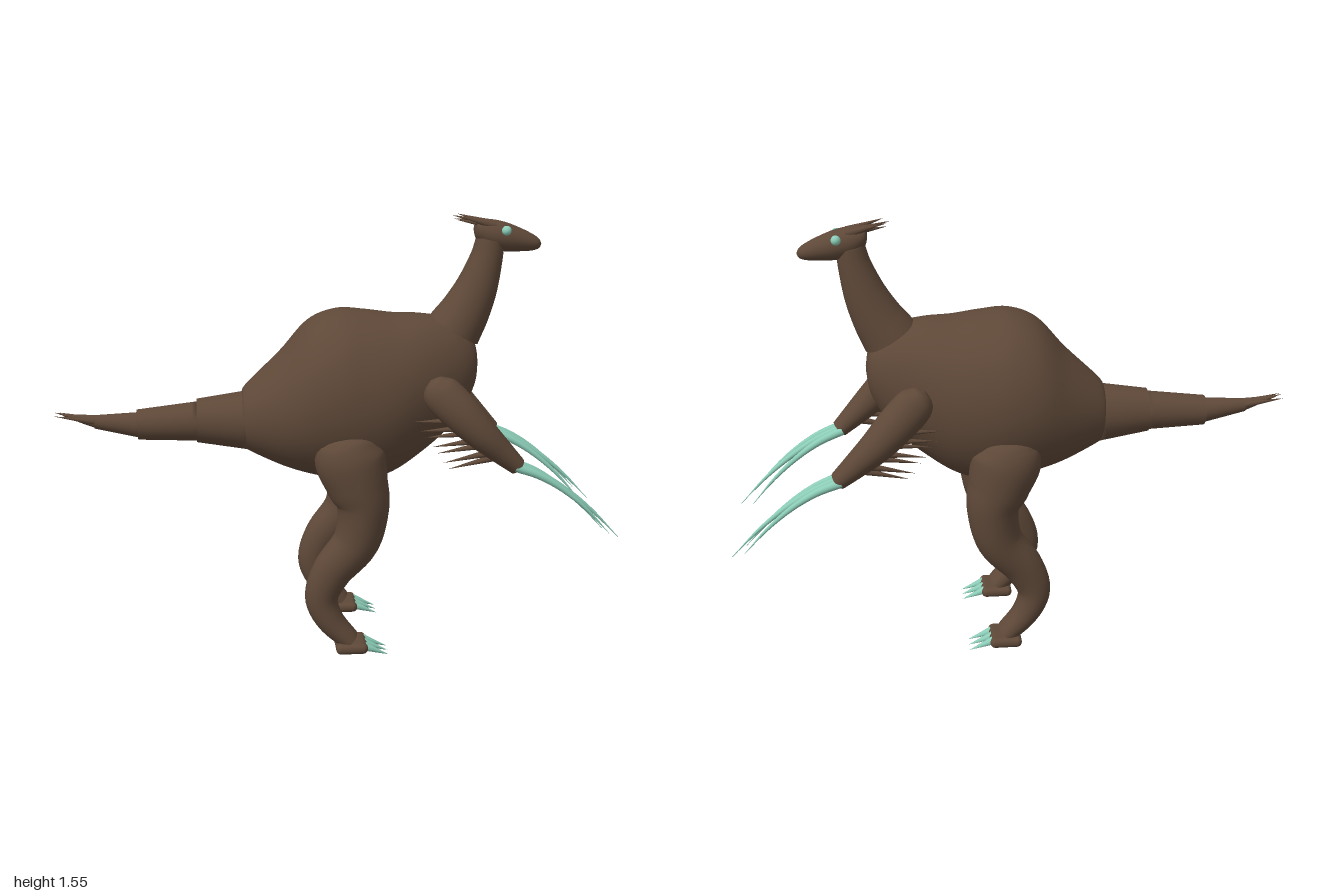
import * as THREE from 'three';
import { RoundedBoxGeometry } from 'three/addons/geometries/RoundedBoxGeometry.js';

const hide = new THREE.MeshStandardMaterial({ color: 0x5e4838 });
hide.name = 'brown hide';
const horn = new THREE.MeshStandardMaterial({ color: 0x8ccdb8 });
horn.name = 'pale teal horn';

const V = (x, y, z) => new THREE.Vector3(x, y, z);

function add(parent, name, geometry, material) {
  const mesh = new THREE.Mesh(geometry, material);
  mesh.name = name;
  parent.add(mesh);
  return mesh;
}

// Smooth skin over elliptical sections [x, y, z, radius in the xy plane, radius across].
// Upright sections all face +x; otherwise they follow the path.
function loft(sections, { upright = false, steps = 40, sides = 32 } = {}) {
  const path = new THREE.CatmullRomCurve3(sections.map(s => V(s[0], s[1], s[2])));
  const radii = new THREE.CatmullRomCurve3(sections.map(s => V(s[3], s[4], 0)), false, 'catmullrom');
  path.curveType = 'catmullrom';
  const pos = [], index = [];
  const put = p => pos.push(p.x, p.y, p.z);
  const ring = t => {
    const c = path.getPoint(t), r = radii.getPoint(t);
    const T = upright ? V(1, 0, 0) : path.getTangent(t);
    const N = V(-T.y, T.x, 0).normalize(), B = T.clone().cross(N);
    for (let j = 0; j < sides; j++) {
      const a = j / sides * Math.PI * 2;
      put(c.clone().addScaledVector(N, Math.max(r.x, 0.001) * Math.cos(a))
        .addScaledVector(B, Math.max(r.y, 0.001) * Math.sin(a)));
    }
    return c;
  };
  for (let i = 0; i <= steps; i++) ring(i / steps);
  for (let i = 0; i < steps; i++) for (let j = 0; j < sides; j++) {
    const k = (j + 1) % sides, a = i * sides, b = a + sides;
    index.push(a + j, a + k, b + k, a + j, b + k, b + j);
  }
  // Flat end caps with their own vertices
  for (const t of [0, 1]) {
    const start = pos.length / 3;
    put(ring(t));
    for (let j = 0; j < sides; j++) {
      const a = start + j, b = start + (j + 1) % sides, mid = start + sides;
      if (t) index.push(mid, a, b); else index.push(mid, b, a);
    }
  }
  const g = new THREE.BufferGeometry();
  g.setAttribute('position', new THREE.Float32BufferAttribute(pos, 3));
  g.setIndex(index);
  g.computeVertexNormals();
  return g;
}

// Cone from a base point to a tip
function spike(parent, name, from, to, radius, material) {
  const d = to.clone().sub(from);
  const mesh = add(parent, name, new THREE.ConeGeometry(radius, d.length(), 10), material);
  mesh.position.copy(from).addScaledVector(d, 0.5);
  mesh.quaternion.setFromUnitVectors(V(0, 1, 0), d.normalize());
}

function makeLeg(s) {
  const leg = new THREE.Group();
  const z = 0.19 * s;
  add(leg, 'legSkin', loft([
    [0.018, 0.835, z, 0.005, 0.005], [0.02, 0.825, z, 0.058, 0.05], [0.023, 0.80, z, 0.098, 0.085],
    [0.03, 0.74, z, 0.124, 0.108], [0.055, 0.65, z, 0.112, 0.108], [0.078, 0.56, z, 0.093, 0.1],
    [0.055, 0.43, z, 0.083, 0.085], [-0.03, 0.32, z, 0.072, 0.066], [-0.07, 0.22, z, 0.06, 0.055],
    [-0.04, 0.13, z, 0.05, 0.054], [0.03, 0.05, z, 0.038, 0.054],
  ], { steps: 60 }), hide);
  const foot = add(leg, 'foot', new RoundedBoxGeometry(0.115, 0.038, 0.135, 4, 0.018), hide);
  foot.position.set(0.036, 0.033, z);
  for (const k of [-1, 0, 1])
    spike(leg, 'toeClaw', V(0.082, 0.035, z + k * 0.035), V(0.17, 0.001, z + k * 0.038), 0.016, horn);
  return leg;
}

function makeArm(s) {
  const arm = new THREE.Group();
  add(arm, 'armSkin', loft([
    [0.308, 1.015, 0.212 * s, 0.005, 0.005], [0.318, 1.003, 0.213 * s, 0.04, 0.036],
    [0.345, 0.97, 0.217 * s, 0.067, 0.055], [0.41, 0.905, 0.235 * s, 0.068, 0.064],
    [0.48, 0.833, 0.245 * s, 0.058, 0.062], [0.55, 0.767, 0.241 * s, 0.045, 0.052],
    [0.615, 0.707, 0.235 * s, 0.032, 0.042],
  ]), hide);
  // Three long curved claws, fanning inward
  for (const [z0, z1, x1, y1] of [[0.262, 0.264, 0.95, 0.455], [0.233, 0.217, 0.998, 0.422], [0.205, 0.17, 0.95, 0.44]]) {
    const at = t => [0.605 + (x1 - 0.605) * t, 0.71 + (y1 - 0.71) * t + 0.16 * t * (1 - t), (z0 + (z1 - z0) * t) * s];
    add(arm, 'handClaw', loft([0, 0.25, 0.5, 0.75, 1].map(t => {
      const r = 0.017 * Math.pow(1 - t, 0.75);
      return [...at(t), r, r];
    }), { steps: 16, sides: 12 }), horn);
  }
  // Row of feathers under the forearm
  for (let i = 0; i < 7; i++) {
    const t = i / 6, z = (0.238 + (i % 2 ? 0.012 : -0.006)) * s;
    spike(arm, 'armFeather', V(0.40 + 0.14 * t, 0.875 - 0.135 * t, z),
      V(0.25 + 0.12 * t, 0.875 - 0.175 * t, z), 0.014, hide);
  }
  return arm;
}

export function createModel() {
  const model = new THREE.Group();
  model.name = 'clawedDinosaur';

  // Body sections: x, top, bottom, half width
  add(model, 'body', loft([
    [-0.34, 0.93, 0.745, 0.085], [-0.32, 0.965, 0.725, 0.115], [-0.2, 1.08, 0.668, 0.193],
    [-0.1, 1.19, 0.635, 0.243], [0, 1.23, 0.615, 0.262], [0.1, 1.225, 0.606, 0.257],
    [0.2, 1.212, 0.635, 0.236], [0.3, 1.208, 0.7, 0.195], [0.4, 1.19, 0.785, 0.143],
    [0.46, 1.15, 0.87, 0.103], [0.495, 1.1, 0.945, 0.062], [0.507, 1.04, 1.02, 0.005],
  ].map(([x, top, low, w]) => [x, (top + low) / 2, 0, (top - low) / 2, w]), { upright: true, steps: 66, sides: 48 }), hide);

  add(model, 'neck', loft([
    [0.42, 1.148, 0, 0.1, 0.1], [0.46, 1.215, 0, 0.088, 0.088], [0.499, 1.3, 0, 0.074, 0.075],
    [0.53, 1.4, 0, 0.058, 0.061], [0.543, 1.47, 0, 0.05, 0.053],
  ]), hide);

  // Head
  add(model, 'head', loft([
    [0.485, 1.505, 0, 0.012, 0.012], [0.495, 1.503, 0, 0.034, 0.034], [0.535, 1.489, 0, 0.051, 0.05],
    [0.59, 1.478, 0, 0.052, 0.053], [0.645, 1.467, 0, 0.042, 0.045], [0.69, 1.457, 0, 0.03, 0.034],
    [0.715, 1.452, 0, 0.018, 0.02], [0.725, 1.45, 0, 0.002, 0.002],
  ], { upright: true }), hide);
  for (const s of [1, -1])
    add(model, 'eye', new THREE.SphereGeometry(0.017, 16, 12), horn).position.set(0.59, 1.505, s * 0.05);
  for (let k = -2; k <= 2; k++)
    spike(model, 'crestFeather', V(0.555, 1.518, k * 0.012),
      V(0.405 + Math.abs(k) * 0.012, 1.555 - (k % 2 ? 0.014 : 0), k * 0.02), 0.016, hide);

  // Tail: overlapping tapered segments
  for (const [a, b] of [
    [[-0.32, 0.832, 0.106], [-0.5, 0.834, 0.078]],
    [[-0.49, 0.832, 0.071], [-0.71, 0.824, 0.054]],
    [[-0.7, 0.823, 0.046], [-0.86, 0.838, 0.024]],
  ]) add(model, 'tailSegment', loft([a, b].map(([x, y, r]) => [x, y, 0, r, r]), { steps: 6 }), hide);
  add(model, 'tailTip', loft([
    [-0.85, 0.838, 0, 0.024, 0.024], [-0.9, 0.849, 0, 0.016, 0.016], [-0.97, 0.866, 0, 0.004, 0.004],
  ], { steps: 10 }), hide);
  for (let k = -2; k <= 2; k++)
    spike(model, 'tailFeather', V(-0.86, 0.842, k * 0.006),
      V(-1 + Math.abs(k % 2) * 0.02, 0.874 - Math.abs(k) * 0.003, k * 0.013), 0.012, hide);

  // Limbs, mirrored across z
  for (const [side, s] of [['near', 1], ['far', -1]]) {
    const leg = makeLeg(s), arm = makeArm(s);
    leg.name = side + 'Leg';
    arm.name = side + 'Arm';
    model.add(leg, arm);
  }
  return model;
}
